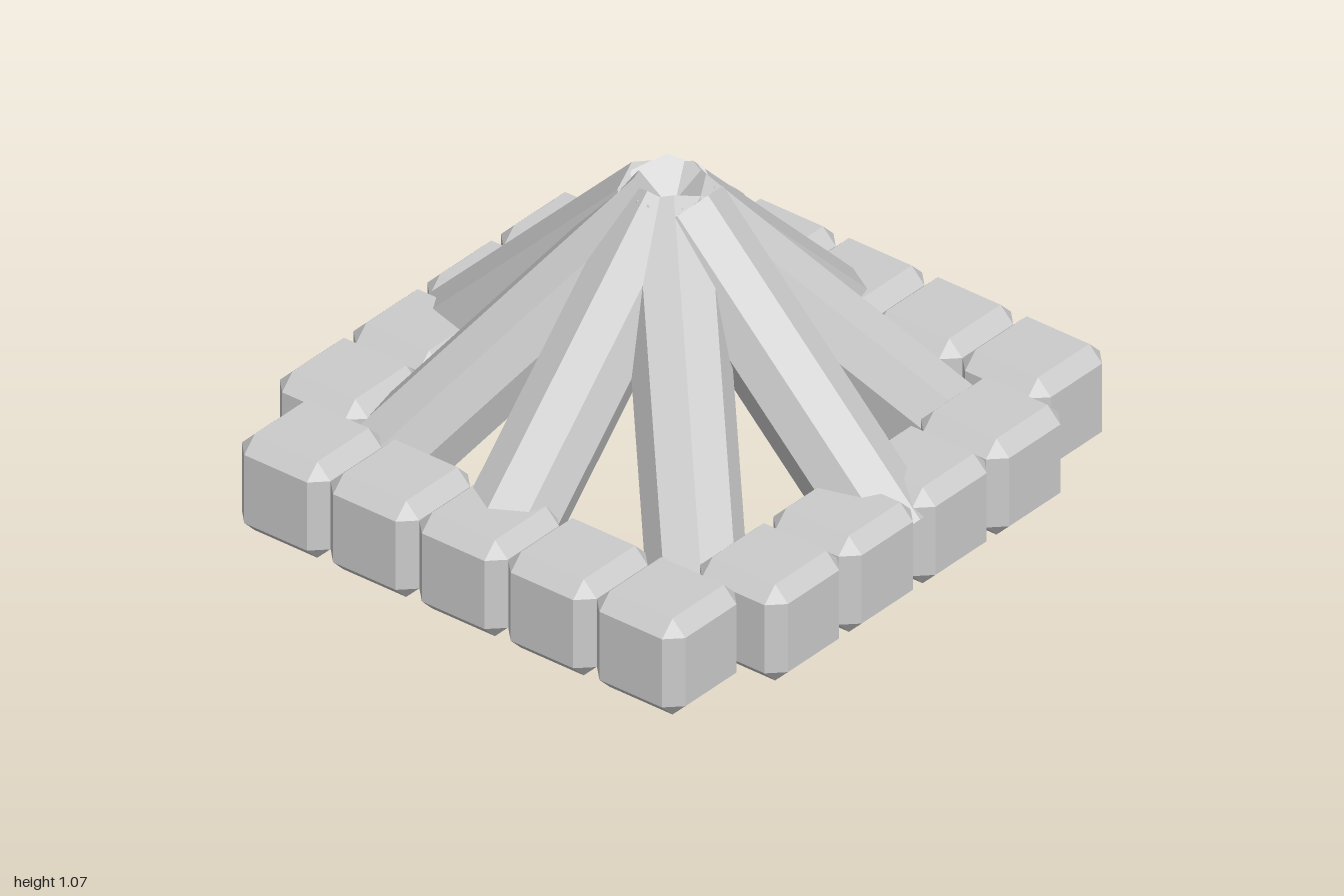
import * as THREE from 'three';
import { ConvexGeometry } from 'three/addons/geometries/ConvexGeometry.js';

const material = new THREE.MeshStandardMaterial({ color: 0xcccccc, flatShading: true });

// Cube with chamfered edges and clipped corners
function chamferedCube(half, chamfer) {
  const inner = half - chamfer;
  const points = [];
  for (const x of [-1, 1]) for (const y of [-1, 1]) for (const z of [-1, 1]) {
    points.push(
      new THREE.Vector3(x * half, y * inner, z * inner),
      new THREE.Vector3(x * inner, y * half, z * inner),
      new THREE.Vector3(x * inner, y * inner, z * half)
    );
  }
  return new ConvexGeometry(points);
}

// Octagonal log leaning at 45 degrees, running down from near the centre axis
function makeLog(heading, startRadius, startY, endRadius) {
  const run = endRadius - startRadius;
  const geometry = new THREE.CylinderGeometry(0.148, 0.148, run * Math.SQRT2, 8);
  geometry.rotateX(Math.PI * 0.75);
  geometry.translate(0, startY - run / 2, startRadius + run / 2);
  const log = new THREE.Mesh(geometry, material);
  log.rotation.y = heading;
  log.name = 'log';
  return log;
}

export function createModel() {
  const model = new THREE.Group();
  model.name = 'campfire';

  // Ring of stones: five along front and back, four along each side
  const stones = new THREE.Group();
  stones.name = 'stoneRing';
  const stoneGeometry = chamferedCube(0.165, 0.048);
  const addStone = (x, z) => {
    const stone = new THREE.Mesh(stoneGeometry, material);
    stone.position.set(x, 0.165, z);
    stone.name = 'stone';
    stones.add(stone);
  };
  for (const side of [-1, 1]) {
    for (let i = -2; i <= 2; i++) addStone(0.007 + i * 0.332, side * 0.835);
    for (let i = 0; i < 4; i++) addStone(side * 0.785, (i - 1.5) * 0.337);
  }
  model.add(stones);

  // Eight logs meeting in a cone
  const logs = new THREE.Group();
  logs.name = 'logPile';
  for (let i = 0; i < 8; i++) {
    const sideways = i === 2 || i === 6;
    const startY = sideways ? 0.945 : i === 5 ? 0.965 : 0.955;
    logs.add(makeLog(i * Math.PI / 4, sideways ? 0.038 : 0, startY, 0.83));
  }
  model.add(logs);

  return model;
}
